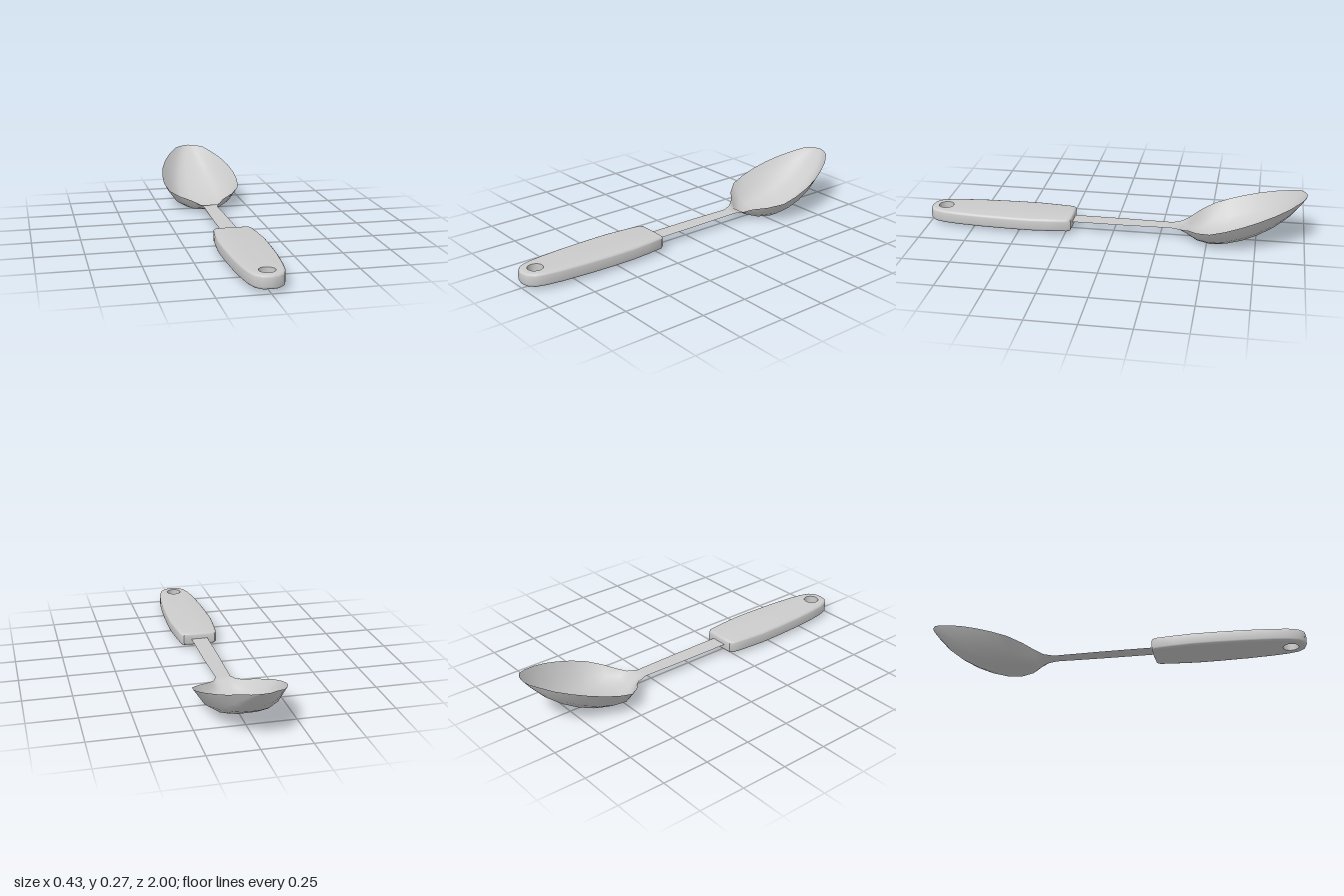
import * as THREE from 'three';
import { toCreasedNormals } from 'three/addons/utils/BufferGeometryUtils.js';

const material = new THREE.MeshStandardMaterial({ color: 0xcccccc });
const sheetMaterial = new THREE.MeshStandardMaterial({ color: 0xcccccc, side: THREE.DoubleSide });

// Thin sheet lofted through sections [z, half width, rim height, bottom height]
function sheet(name, sections) {
  const steps = [-1, -0.75, -0.5, -0.25, 0, 0.25, 0.5, 0.75, 1];
  const n = steps.length;
  const positions = [];
  const index = [];
  sections.forEach(([z, w, rim, bottom], i) => {
    for (const t of steps) {
      positions.push(w * t, bottom + (rim - bottom) * Math.abs(t) ** 3.6, z);
    }
    if (i === 0) return;
    for (let j = 0; j < n - 1; j++) {
      const a = (i - 1) * n + j;
      const c = i * n + j;
      index.push(a, a + 1, c, a + 1, c + 1, c);
    }
  });
  const geometry = new THREE.BufferGeometry();
  geometry.setAttribute('position', new THREE.Float32BufferAttribute(positions, 3));
  geometry.setIndex(index);
  geometry.computeVertexNormals();
  const mesh = new THREE.Mesh(geometry, sheetMaterial);
  mesh.name = name;
  return mesh;
}

// Rounded grip with a straight hanging hole
function handle() {
  const half = [
    [0.085, 0.218], [0.1, 0.235], [0.11, 0.33], [0.118, 0.43], [0.117, 0.55], [0.111, 0.7],
    [0.1, 0.83], [0.088, 0.91], [0.07, 0.965], [0.04, 0.992],
  ];
  const outline = [
    [0, 0.215], ...half, [0, 1],
    ...half.map(([x, z]) => [-x, z]).reverse(),
  ].map(([x, z]) => new THREE.Vector2(x, z));
  const shape = new THREE.Shape(outline);
  const holeZ = 0.92;
  const holeRadius = 0.04;
  const hole = new THREE.Path();
  hole.absarc(0, holeZ, holeRadius, 0, Math.PI * 2, true);
  shape.holes.push(hole);

  const bevel = 0.013;
  const geometry = new THREE.ExtrudeGeometry(shape, {
    depth: 0.068 - 2 * bevel, curveSegments: 10,
    bevelSize: bevel, bevelThickness: bevel, bevelOffset: -bevel, bevelSegments: 3,
  });
  // Keep the hole wall straight: pull its beveled rims back to one radius
  const p = geometry.attributes.position;
  for (let i = 0; i < p.count; i++) {
    const x = p.getX(i);
    const y = p.getY(i) - holeZ;
    const d = Math.hypot(x, y);
    if (d < 0.062) p.setXY(i, x * holeRadius / d, holeZ + y * holeRadius / d);
  }
  geometry.rotateX(Math.PI / 2);
  geometry.translate(0, 0.087 - bevel, 0);
  const mesh = new THREE.Mesh(toCreasedNormals(geometry, 0.7), material);
  mesh.name = 'handle';
  return mesh;
}

export function createModel() {
  const group = new THREE.Group();
  group.name = 'spoon';

  // Flat stem, entering the grip
  group.add(sheet('stem', [
    [0.27, 0.045, 0.055, 0.055], [-0.05, 0.044, 0.055, 0.055], [-0.31, 0.038, 0.055, 0.055],
  ]));

  // Bowl, from the neck to the raised tip
  group.add(sheet('bowl', [
    [-0.31, 0.038, 0.055, 0.055],
    [-0.36, 0.06, 0.058, 0.053],
    [-0.4, 0.09, 0.072, 0.024],
    [-0.45, 0.152, 0.088, 0.006],
    [-0.52, 0.206, 0.11, 0.001],
    [-0.6, 0.217, 0.136, 0.01],
    [-0.68, 0.213, 0.163, 0.032],
    [-0.76, 0.197, 0.19, 0.066],
    [-0.84, 0.168, 0.217, 0.112],
    [-0.91, 0.13, 0.241, 0.167],
    [-0.965, 0.085, 0.264, 0.227],
    [-0.99, 0.045, 0.269, 0.259],
    [-1, 0, 0.272, 0.272],
  ]));

  group.add(handle());
  return group;
}
